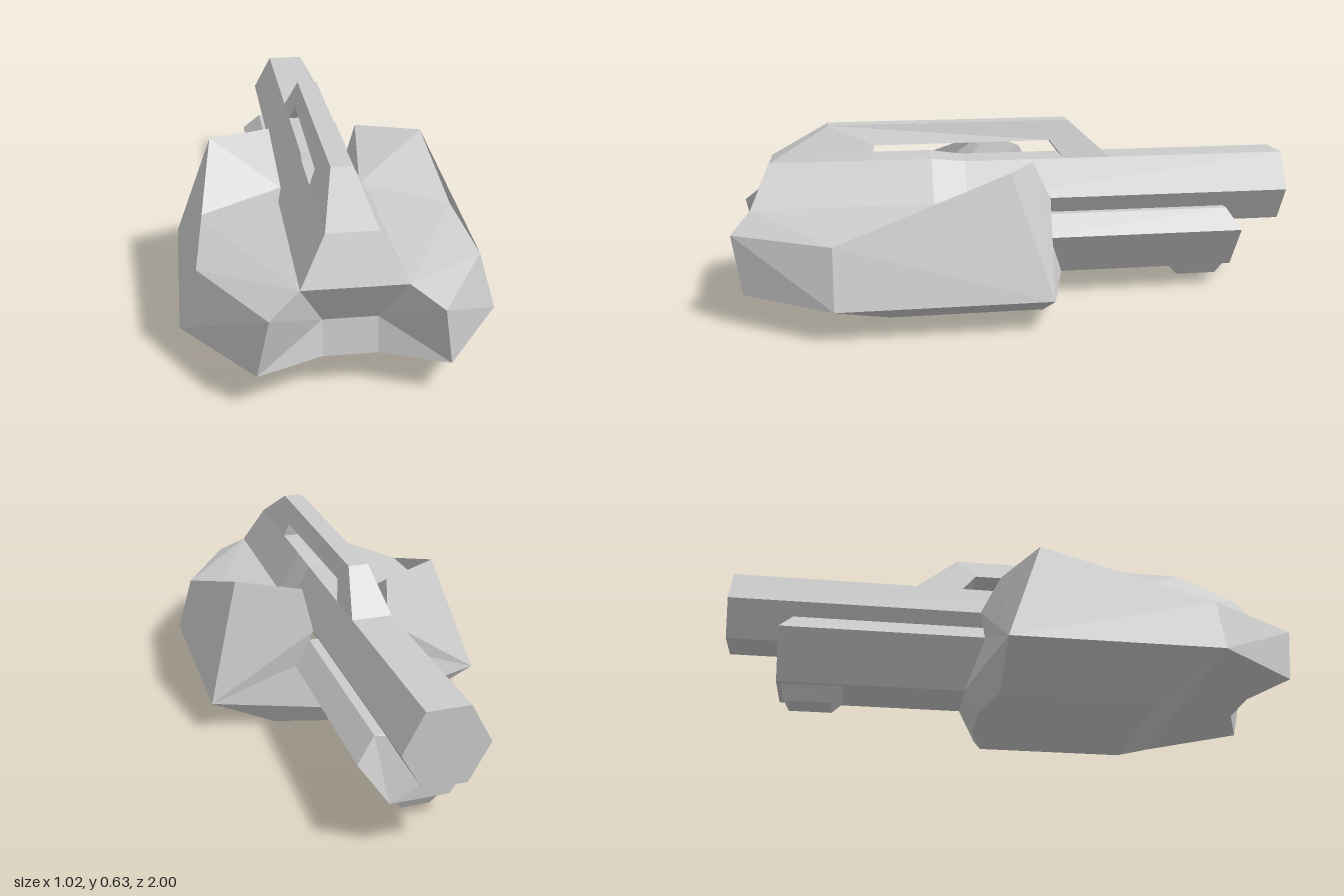
import * as THREE from 'three';

const material = new THREE.MeshStandardMaterial({ color: 0xcccccc, flatShading: true });

// Corners on the +x half; a trailing "_" in a face means the mirrored corner.
const P = {
  noseTop: [0.255, 0.31, 1], noseLow: [0.29, 0.11, 0.965],
  sideTop: [0.45, 0.31, 0.66], sideLow: [0.51, 0.11, 0.66],
  rise: [0.44, 0.33, 0.31], peak: [0.38, 0.52, 0.07], peakIn: [0.16, 0.508, -0.04],
  backLow: [0.51, 0.11, -0.06], backIn: [0.14, 0.37, -0.11], backMid: [0.2, 0.24, -0.1],
  tail: [0.1, 0.08, -0.16], keelTail: [0.1, 0, -0.11],
  keelBack: [0.28, 0, -0.06], keelFront: [0.28, 0, 0.48],
  waist: [0.14, 0.37, 0.19], deckIn: [0.16, 0.37, 0.31], rim: [0.16, 0.37, 0.94],
  notchLow: [0.085, 0.11, 0.88], notchTop: [0.085, 0.225, 0.86],
  spineFront: [0.08, 0.515, 0.875], spineMid: [0.08, 0.515, 0.31], spineBack: [0.07, 0.5, 0.19],
};

function corner(name) {
  if (!name.endsWith('_')) return P[name];
  const [x, y, z] = P[name.slice(0, -1)];
  return [-x, y, z];
}

function mesh(name, geometry) {
  const m = new THREE.Mesh(geometry, material);
  m.name = name;
  return m;
}

// Faces in "half" are mirrored across x; faces in "whole" span the middle.
function shell(name, half, whole) {
  const pos = [];
  const fan = (pts) => {
    for (let i = 1; i < pts.length - 1; i++) pos.push(...pts[0], ...pts[i], ...pts[i + 1]);
  };
  for (const f of half) {
    const pts = f.split(' ').map(corner);
    fan(pts);
    const [first, ...rest] = pts.map(([x, y, z]) => [-x, y, z]);
    fan([first, ...rest.reverse()]);
  }
  for (const f of whole) fan(f.split(' ').map(corner));
  const g = new THREE.BufferGeometry();
  g.setAttribute('position', new THREE.Float32BufferAttribute(pos, 3));
  g.computeVertexNormals();
  return mesh(name, g);
}

const shapeOf = (pts) => new THREE.Shape(pts.map(([a, b]) => new THREE.Vector2(a, b)));

// Side profile of [z, y] points, given a half width that depends on y and z
function sideProfile(name, pts, halfWidth) {
  const g = new THREE.ExtrudeGeometry(shapeOf(pts), { depth: 1, bevelEnabled: false });
  const p = g.attributes.position;
  for (let i = 0; i < p.count; i++) {
    const z = p.getX(i), y = p.getY(i), w = halfWidth(y, z);
    p.setXYZ(i, p.getZ(i) < 0.5 ? w : -w, y, z);
  }
  g.computeVertexNormals();
  return mesh(name, g);
}

// Prism along z from a half section of [x, y] points, mirrored across x
function prism(name, half, z0, z1, tweak) {
  const pts = [...half, ...half.map(([x, y]) => [-x, y]).reverse()];
  const g = new THREE.ExtrudeGeometry(shapeOf(pts), { depth: z1 - z0, bevelEnabled: false });
  g.translate(0, 0, z0);
  const p = g.attributes.position;
  if (tweak) for (let i = 0; i < p.count; i++) p.setZ(i, tweak(p.getY(i), p.getZ(i)));
  g.computeVertexNormals();
  return mesh(name, g);
}

export function createModel() {
  const group = new THREE.Group();
  group.name = 'model';

  // Faceted hull with raised shoulders, notched nose and chamfered belly
  group.add(shell('hull', [
    'noseTop noseLow sideLow sideTop',
    'sideTop sideLow backLow peak rise',
    'rim noseTop sideTop rise deckIn',
    'deckIn rise waist',
    'waist rise peak',
    'waist peak peakIn',
    'peakIn backIn waist',
    'peak backLow peakIn',
    'peakIn backLow backIn',
    'backIn backLow backMid',
    'backMid backLow tail',
    'tail backLow keelBack keelTail',
    'sideLow keelFront keelBack backLow',
    'sideLow noseLow notchLow',
    'noseLow noseTop notchTop',
    'noseTop rim notchTop',
    'noseLow notchTop notchLow',
  ], [
    'tail keelTail keelTail_ tail_',
    'sideLow_ keelFront_ keelFront sideLow',
    'keelFront_ keelBack_ keelTail_ keelTail keelBack keelFront',
    'sideLow_ sideLow notchLow notchLow_',
    'notchLow notchTop notchTop_ notchLow_',
    'notchTop rim rim_ notchTop_',
  ]));

  // Sloped spine along the middle of the hull
  group.add(shell('spine', [
    'rim deckIn spineMid spineFront',
    'deckIn waist spineBack spineMid',
  ], [
    'rim spineFront spineFront_ rim_',
    'spineFront spineMid spineMid_ spineFront_',
    'spineMid spineBack spineBack_ spineMid_',
  ]));

  // Carrying handle arching over the spine
  group.add(sideProfile('handle', [
    [0.875, 0.515], [0.67, 0.635], [-0.19, 0.635], [-0.34, 0.5],
    [-0.17, 0.5], [-0.12, 0.565], [0.51, 0.565], [0.52, 0.515],
  ], (y, z) => {
    const [base, wide] = z > 0.25 ? [0.515, 0.08] : [0.5, 0.07];
    return 0.035 + (wide - 0.035) * (0.635 - y) / (0.635 - base);
  }));

  // Six-sided barrel
  group.add(prism('barrel', [[0.07, 0.245], [0.14, 0.37], [0.07, 0.5]], -1, 0.19));

  // Housing under the barrel, its upper edge cut back at the end
  group.add(prism('lowerHousing', [[0.1, 0.08], [0.207, 0.24], [0.14, 0.31]], -0.81, -0.05,
    (y, z) => (y > 0.3 && z < -0.5 ? -0.77 : z)));

  // Small foot under the housing
  group.add(sideProfile('foot', [
    [-0.58, 0.085], [-0.62, 0.03], [-0.77, 0.03], [-0.805, 0.1],
  ], (y) => (y < 0.05 ? 0.05 : 0.09)));

  return group;
}
